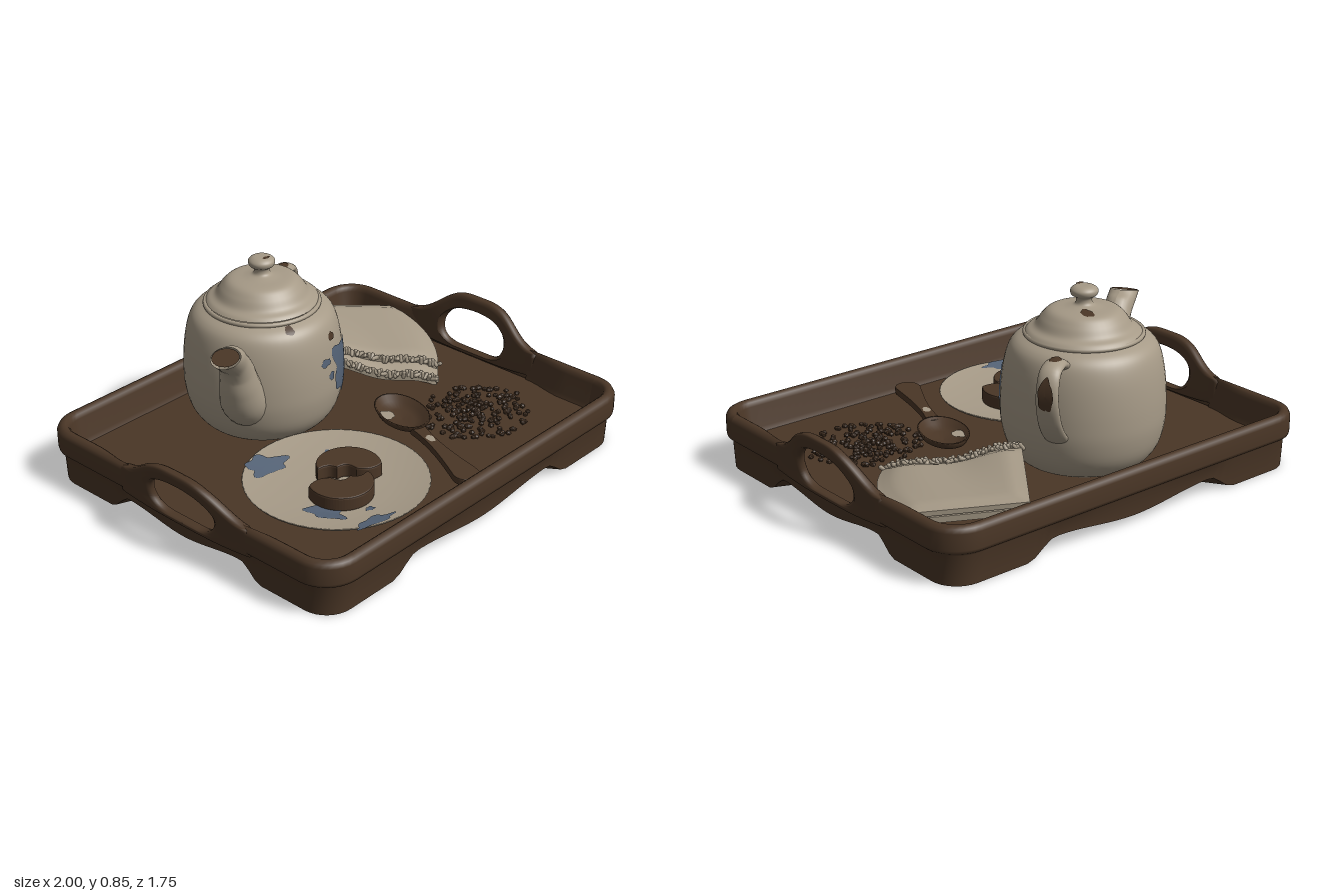
import * as THREE from 'three';
import { mergeGeometries } from 'three/addons/utils/BufferGeometryUtils.js';

const mat = (name, color) => new THREE.MeshStandardMaterial({ name, color, side: THREE.DoubleSide });
const V = (x, y, z) => new THREE.Vector3(x, y, z);
const V2 = (x, y) => new THREE.Vector2(x, y);
const smooth = (t) => THREE.MathUtils.smoothstep(t, 0, 1);
const FLOOR = 0.11;

function add(parent, name, geo, material, x = 0, y = 0, z = 0) {
  const m = new THREE.Mesh(geo, material);
  m.name = name;
  m.position.set(x, y, z);
  parent.add(m);
  return m;
}

function seeded(seed) {
  let s = seed;
  return () => (s = (s * 16807) % 2147483647) / 2147483647;
}

// surface from a rule: fn(row, col) -> [x, y, z]
function grid(rows, cols, fn, skip = () => false) {
  const pos = [], idx = [];
  for (let i = 0; i <= rows; i++) for (let j = 0; j <= cols; j++) pos.push(...fn(i, j));
  for (let i = 0; i < rows; i++) for (let j = 0; j < cols; j++) {
    if (skip(i, j)) continue;
    const a = i * (cols + 1) + j, b = a + cols + 1;
    idx.push(a, a + 1, b, a + 1, b + 1, b);
  }
  const g = new THREE.BufferGeometry();
  g.setAttribute('position', new THREE.Float32BufferAttribute(pos, 3));
  g.setIndex(idx);
  g.computeVertexNormals();
  return g;
}

// irregular spot, laid on a surface by map(u, v); rough sets how ragged it is
function blob(cu, cv, ru, rv, seed, map, rough = 0.35) {
  const w = (t) => 0.9 + rough * (0.4 * Math.sin(3 * t + seed) + 0.4 * Math.sin(5 * t + seed * 2.3) + 0.2 * Math.sin(8 * t + seed));
  return grid(4, 40, (i, j) => {
    const t = j / 40 * Math.PI * 2, k = i / 4 * w(t);
    return map(cu + ru * k * Math.cos(t), cv + rv * k * Math.sin(t));
  });
}

// linear lookup of x at height y along profile points
function lookup(pts, y) {
  for (let i = 1; i < pts.length; i++) {
    const a = pts[i - 1], b = pts[i];
    if (y <= b.y) return a.x + (b.x - a.x) * (y - a.y) / (b.y - a.y);
  }
  return pts[pts.length - 1].x;
}

function tray(root, brown) {
  const g = new THREE.Group();
  g.name = 'tray';
  g.rotation.y = 0.1;
  root.add(g);
  const A = 0.79, B = 0.65, R = 0.15;
  // rounded outline with a scalloped lower edge
  const ring = [];
  const sx = [1, -1, -1, 1], sz = [1, 1, -1, -1];
  const skirt = (u) => u > 1 ? 0 : u > 0.75 ? 0.07 * smooth((1 - u) / 0.25) : 0.035 + 0.035 * smooth(u / 0.75);
  for (let k = 0; k < 4; k++) {
    for (let i = 0; i <= 8; i++) {
      const t = (k + i / 8) * Math.PI / 2;
      ring.push({ x: A * sx[k], z: B * sz[k], nx: Math.cos(t), nz: Math.sin(t), low: 0, s: 9 });
    }
    const n = (k + 1) % 4, t = n * Math.PI / 2, side = k % 2 === 1;
    for (let i = 1; i < 40; i++) {
      const x = A * (sx[k] + (sx[n] - sx[k]) * i / 40), z = B * (sz[k] + (sz[n] - sz[k]) * i / 40);
      ring.push({ x, z, nx: Math.cos(t), nz: Math.sin(t), low: skirt(side ? Math.abs(z) / 0.42 : Math.abs(x) / 0.55), s: side ? Math.abs(z) : 9 });
    }
  }
  ring.push(ring[0]);
  const prof = [[0.03, 0], [0.024, 0.125], [0.003, 0.142], [0, 0.155], [0, 0.222], [0.008, 0.238], [0.022, 0.246],
    [0.036, 0.246], [0.047, 0.238], [0.054, 0.22], [0.072, 0.13], [0.082, FLOOR - 0.002]];
  const cols = ring.length - 1;
  add(g, 'trayWall', grid(prof.length - 1, cols, (i, j) => {
    const p = ring[j], thin = 1 - 0.4 * smooth((0.5 - p.s) / 0.2);
    const d = R - prof[i][0] * (i > 6 ? thin : 1);
    return [p.x + p.nx * d, i ? prof[i][1] : p.low, p.z + p.nz * d];
  }, (i, j) => i > 0 && ring[j].s < 0.3 && ring[j + 1].s < 0.3), brown);
  // underside folding toward the middle
  add(g, 'trayUnderside', grid(1, cols, (i, j) => {
    const p = ring[j], d = R - 0.03;
    return i ? [0, 0.022, 0] : [p.x + p.nx * d, p.low, p.z + p.nz * d];
  }), brown);
  const floor = new THREE.Shape(ring.slice(0, -1).map((p) => V2(p.x + p.nx * 0.11, p.z + p.nz * 0.11)));
  add(g, 'trayFloor', new THREE.ShapeGeometry(floor).rotateX(Math.PI / 2).scale(1, -1, 1), brown, 0, FLOOR).geometry.computeVertexNormals();
  // arched handles: a rounded band between grip hole and outer edge, leaning outward
  const band = [[0.1, 0], [0, 0.01], [0, 0.031], [0.1, 0.041], [0.35, 0.041], [0.65, 0.041], [0.9, 0.041], [1, 0.031], [1, 0.01], [0.9, 0], [0.65, 0], [0.35, 0], [0.1, 0]];
  for (const s of [1, -1]) {
    const top = s > 0 ? 0.376 : 0.357, h = top - 0.062;
    const outer = new THREE.Path();
    outer.moveTo(0, 0.11);
    outer.bezierCurveTo(0.15, 0.11, 0.25, 0.115, 0.36, 0.125);
    outer.lineTo(0.36, 0.238);
    outer.bezierCurveTo(0.22, 0.25, 0.2, top, 0.04, top);
    outer.lineTo(-0.04, top);
    outer.bezierCurveTo(-0.2, top, -0.22, 0.25, -0.36, 0.238);
    outer.lineTo(-0.36, 0.125);
    outer.bezierCurveTo(-0.25, 0.115, -0.15, 0.11, 0, 0.11);
    const hole = new THREE.Path();
    hole.moveTo(0, 0.128);
    hole.lineTo(0.08, 0.128);
    hole.bezierCurveTo(0.2, 0.135, 0.21, 0.26, 0.1, h - 0.01);
    hole.quadraticCurveTo(0, h + 0.012, -0.1, h - 0.01);
    hole.bezierCurveTo(-0.21, 0.26, -0.2, 0.135, -0.08, 0.128);
    hole.lineTo(0, 0.128);
    const N = 96, O = outer.getSpacedPoints(N), H = hole.getSpacedPoints(N);
    add(g, s > 0 ? 'leftTrayHandle' : 'rightTrayHandle', grid(band.length - 1, N, (i, j) => {
      const p = H[j].clone().lerp(O[j], band[i][0]);
      const lean = 0.2 * Math.max(0, p.y - 0.17) * smooth((0.37 - Math.abs(p.x)) / 0.25);
      return [s * (0.899 + band[i][1] + lean), p.y, p.x];
    }), brown, 0, 0, -0.03 * s);
  }
}

function teapot(root, cream, brown, blue) {
  const g = new THREE.Group();
  g.name = 'teapot';
  g.position.set(-0.14, 0, -0.33);
  root.add(g);
  const key = [[0.2, FLOOR], [0.26, 0.135], [0.31, 0.2], [0.333, 0.29], [0.336, 0.38], [0.33, 0.47], [0.318, 0.545], [0.3, 0.6], [0.275, 0.63], [0.24, 0.648]];
  const body = new THREE.SplineCurve(key.map((p) => V2(...p))).getPoints(40);
  add(g, 'teapotBody', new THREE.LatheGeometry([V2(0, FLOOR), ...body], 56), cream);
  const rim = add(g, 'teapotRim', new THREE.TorusGeometry(0.236, 0.01, 10, 56), cream, 0, 0.655);
  rim.rotation.x = Math.PI / 2;
  const lid = new THREE.SplineCurve([[0.235, 0.662], [0.222, 0.674], [0.195, 0.69], [0.17, 0.725], [0.135, 0.755], [0.07, 0.765],
    [0.037, 0.775], [0.033, 0.798], [0.052, 0.813], [0.055, 0.833], [0.035, 0.848], [0, 0.85]].map((p) => V2(...p)));
  add(g, 'teapotLid', new THREE.LatheGeometry(lid.getPoints(60), 48), cream, 0.008, 0, -0.008);

  // spout and handle lie on one line through the pot
  const arm = new THREE.Group();
  arm.name = 'spoutAndHandle';
  arm.rotation.y = -2.53;
  g.add(arm);
  // tube in the xy plane; radius(t) gives in-plane radius, breadth and how level the section is
  const sweep = (pts, radius, rows) => {
    const c = new THREE.CatmullRomCurve3(pts);
    return grid(rows, 24, (i, j) => {
      const t = i / rows, p = c.getPoint(t), d = c.getTangent(t), a = j / 24 * Math.PI * 2, [rn, rb, level] = radius(t);
      const n = V(-d.y, d.x, 0).lerp(V(-0.97, 0.24, 0), level).normalize();
      return [p.x + n.x * Math.cos(a) * rn, p.y + n.y * Math.cos(a) * rn, Math.sin(a) * rb];
    });
  };
  add(arm, 'spout', sweep([V(0.22, 0.3, 0), V(0.31, 0.36, 0), V(0.36, 0.45, 0), V(0.39, 0.53, 0), V(0.445, 0.6, 0), V(0.54, 0.663, 0)],
    (t) => {
      const r = 0.05 + 0.065 * (1 - t) ** 1.3, end = smooth((t - 0.75) / 0.25);
      return [r + 0.015 * end, r + 0.01 * end, end];
    }, 36), cream);
  add(arm, 'spoutOpening', new THREE.CircleGeometry(0.055, 24).rotateX(-Math.PI / 2).rotateZ(-0.245), brown, 0.54, 0.665);
  add(arm, 'teapotHandle', sweep([V(-0.27, 0.6, 0), V(-0.33, 0.63, 0), V(-0.405, 0.615, 0), V(-0.435, 0.53, 0), V(-0.41, 0.43, 0), V(-0.365, 0.36, 0), V(-0.3, 0.3, 0)],
    (t) => [0.022, 0.04 + 0.012 * t, 0], 40), cream);

  // painted splashes and worn chips wrapped on the body (angle from the front, height)
  const wrap = (a, y) => { const r = lookup(body, y) + 0.004; return [r * Math.sin(a), y, r * Math.cos(a)]; };
  const marks = [[0.65, 0.4, 0.35, 0.125, 1, blue, 0.35], [0.19, 0.465, 0.1, 0.02, 2, blue, 0.2], [0.29, 0.395, 0.06, 0.022, 5, blue, 0.2],
    [0.38, 0.56, 0.075, 0.019, 3, brown, 0.12], [-0.27, 0.635, 0.08, 0.014, 4, brown, 0.12]];
  marks.forEach(([a, y, ra, ry, s, m, k]) => add(g, m === blue ? 'paintSplash' : 'chip', blob(a, y, ra, ry, s, wrap, k), m));
  add(g, 'lidChip', blob(0.053, -0.09, 0.026, 0.037, 2, (x, z) => [x, 0.782 - 0.17 * Math.hypot(x, z), z], 0.12), brown);
  add(g, 'knobChip', blob(0, 0, 0.02, 0.01, 2, (x, z) => [x + 0.01, 0.852, z + 0.02], 0.12), brown);
  add(arm, 'handleChip', blob(0, 0.54, 0.034, 0.075, 3, (z, y) => [-0.46 + 2.6 * (y - 0.54) ** 2, y, z], 0.12), brown);
  add(arm, 'handleTopChip', blob(-0.345, 0, 0.035, 0.025, 3, (x, z) => [x, 0.655 - 2 * (x + 0.345) ** 2 - 6 * z * z, z], 0.12), brown);
}

function plate(root, cream, brown, blue) {
  const g = new THREE.Group();
  g.name = 'plateWithBiscuits';
  g.position.set(-0.305, 0, 0.315);
  root.add(g);
  const heightAt = (r) => 0.13 + Math.max(0, r - 0.22) * 0.2;
  const pts = [[0, FLOOR], [0.22, FLOOR], [0.372, 0.152], [0.378, 0.16], [0.372, heightAt(0.372)], [0.22, 0.13], [0, 0.13]];
  add(g, 'plate', new THREE.LatheGeometry(pts.map((p) => V2(...p)), 56), cream);
  const lay = (x, z) => [x, heightAt(Math.hypot(x, z)) + 0.004, z];
  [[-0.14, -0.27, 0.105, 0.065, 1], [0.14, -0.15, 0.045, 0.06, 2], [-0.02, 0.02, 0.05, 0.03, 4], [-0.17, 0.13, 0.07, 0.09, 3],
    [-0.1, 0.33, 0.1, 0.035, 6], [-0.03, 0.23, 0.022, 0.018, 5]].forEach((p) => add(g, 'plateSplash', blob(...p, lay), blue));
  // round biscuits with a scalloped bite
  const s = new THREE.Shape();
  s.absarc(0, 0, 0.127, -0.7, 2.7, false);
  s.quadraticCurveTo(-0.06, 0.06, -0.05, 0.015);
  s.quadraticCurveTo(0.01, 0.02, 0.005, -0.045);
  s.quadraticCurveTo(0.035, -0.095, 0.097, -0.082);
  const geo = new THREE.ExtrudeGeometry(s, { depth: 0.045, bevelSize: 0.006, bevelThickness: 0.008, bevelSegments: 2, curveSegments: 20 }).rotateX(-Math.PI / 2);
  add(g, 'biscuit', geo, brown, 0.075, 0.138, -0.01);
  add(g, 'biscuit', geo, brown, -0.035, 0.138, 0.066).rotation.y = -2.85;
}

function napkin(root, cream) {
  const g = new THREE.Group();
  g.name = 'napkin';
  root.add(g);
  const A = V(0.185, 0.28, -0.36), B = V(0.46, 0.265, -0.82), C = V(0.84, 0.225, -0.58), D = V(0.59, 0.165, -0.025);
  const at = (u, v, drop = 0) => {
    const p = A.clone().lerp(D, u).lerp(B.clone().lerp(C, u), v);
    const bow = Math.max(0, u * 4 * v * (1 - v));
    p.x += 0.075 * bow;
    p.z += 0.03 * bow;
    p.y += 0.012 * Math.sin(u * 9 + v * 2) * (1 - v) - drop;
    return p;
  };
  // two folded layers with rounded edges
  [[0.13, 0, 0.035], [0, 0.025, 0.04]].forEach(([v0, drop, thick], k) => {
    const N = 24;
    const side = (t) => (i, j) => {
      const u = i / N, v = j / N, e = Math.min(u, 1 - u, v, 1 - v);
      const p = at(u, v0 + (1 - v0) * v, drop + t * thick + (t ? 0 : 0.015 * (1 - smooth(e * 8))));
      return [p.x, p.y, p.z];
    };
    const edge = (i, j) => {
      const q = j / N * 4, f = q % 1, n = Math.floor(q) % 4;
      const uv = [[f, 0], [1, f], [1 - f, 1], [0, 1 - f]][n];
      return side(i)(uv[0] * N, uv[1] * N);
    };
    add(g, k ? 'lowerFold' : 'upperFold', grid(N, N, side(0)), cream);
    add(g, 'foldUnderside', grid(N, N, side(1)), cream);
    add(g, 'foldEdge', grid(1, N * 2, (i, j) => edge(i, j / 2)), cream);
    // knotted fringe
    const rnd = seeded(11 + k), knots = [];
    for (let i = 0; i < 44; i++) {
      const p = at(i / 43, v0 - 0.01 + 0.025 * rnd(), drop + 0.01);
      const kn = new THREE.CapsuleGeometry(0.009, 0.02, 3, 6).rotateX(Math.PI / 2 * rnd()).rotateY(rnd() * 3);
      knots.push(kn.translate(p.x, p.y, p.z));
    }
    add(g, 'fringe', mergeGeometries(knots), cream);
  });
}

function spoon(root, brown, cream) {
  const g = new THREE.Group();
  g.name = 'spoon';
  g.position.set(0.25, FLOOR, 0.11);
  g.rotation.y = -0.27;
  root.add(g);
  const pts = [[0, 0], [0.06, 0.01], [0.092, 0.03], [0.104, 0.055], [0.096, 0.057], [0.08, 0.035], [0.05, 0.02], [0, 0.014]];
  add(g, 'spoonBowl', new THREE.LatheGeometry(pts.map((p) => V2(...p)), 32).scale(1, 1, 1.55), brown);
  const s = new THREE.Shape();
  s.moveTo(-0.028, 0.14);
  s.bezierCurveTo(-0.01, 0.28, -0.03, 0.4, -0.052, 0.54);
  s.bezierCurveTo(-0.052, 0.615, 0.052, 0.615, 0.052, 0.54);
  s.bezierCurveTo(0.03, 0.4, 0.01, 0.28, 0.028, 0.14);
  add(g, 'spoonHandle', new THREE.ExtrudeGeometry(s, { depth: 0.02, bevelSize: 0.004, bevelThickness: 0.006, bevelSegments: 2 }).rotateX(Math.PI / 2), brown, 0, 0.045);
  const flat = (y) => (x, z) => [x, y, z];
  add(g, 'bowlWornSpot', blob(-0.06, -0.02, 0.034, 0.042, 2, flat(0.04), 0.12), cream);
  add(g, 'handleWornSpot', blob(0, 0.25, 0.018, 0.03, 4, flat(0.053), 0.12), cream);
}

function seeds(root, brown) {
  const rnd = seeded(77), parts = [];
  for (let i = 0; i < 200; i++) {
    const a = rnd() * Math.PI * 2, r = Math.pow(rnd(), 0.75), size = 0.01 + 0.004 * rnd();
    const x = 0.54 + 0.25 * r * Math.cos(a), z = 0.265 + 0.22 * r * Math.sin(a);
    parts.push(new THREE.IcosahedronGeometry(size, 0).rotateX(rnd() * 3).scale(1.15, 0.9, 1).rotateY(a).translate(x, FLOOR + 0.008 + 0.015 * rnd() * (1 - r), z));
  }
  add(root, 'scatteredSeeds', mergeGeometries(parts), brown);
}

export function createModel() {
  const root = new THREE.Group();
  root.name = 'teaTray';
  const brown = mat('darkWood', 0x4a3626), cream = mat('cream', 0xa69a87), blue = mat('fadedBlue', 0x546275);
  tray(root, brown);
  teapot(root, cream, brown, blue);
  plate(root, cream, brown, blue);
  napkin(root, cream);
  spoon(root, brown, cream);
  seeds(root, brown);
  return root;
}
